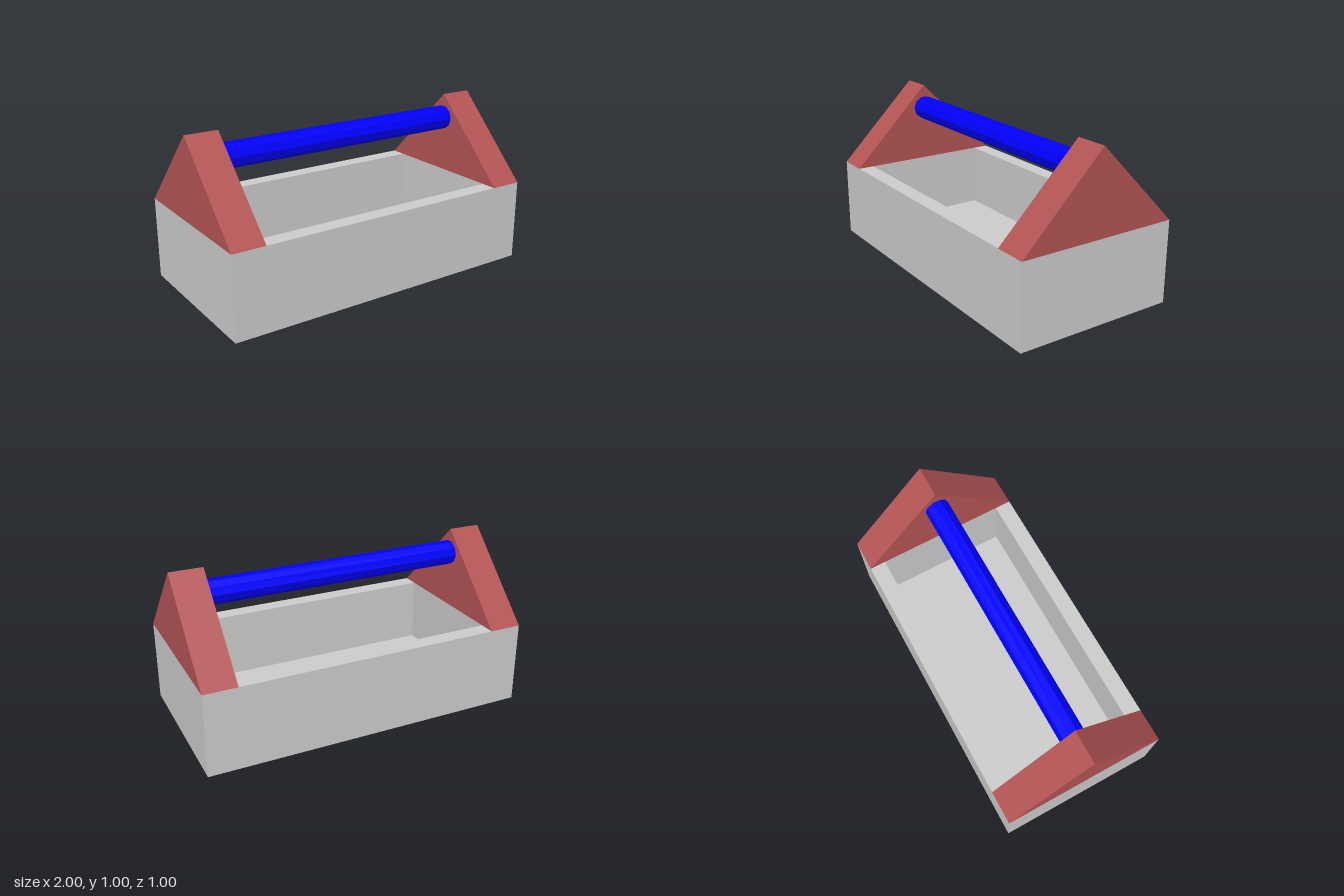
import * as THREE from 'three';

const LENGTH = 2, DEPTH = 1, TRAY_TOP = 0.5, FLOOR = 0.1;
const END = 0.2, SIDE = 0.1; // wall thicknesses

function rectangle(PathType, w, d) {
  return new PathType([[-w, -d], [w, -d], [w, d], [-w, d]].map(([x, y]) => new THREE.Vector2(x / 2, y / 2)));
}

export function createModel() {
  const model = new THREE.Group();
  model.name = 'toolCaddy';
  const grey = new THREE.MeshStandardMaterial({ color: 0xcccccc, flatShading: true });
  const red = new THREE.MeshStandardMaterial({ color: 0xb45454, flatShading: true });
  const blue = new THREE.MeshStandardMaterial({ color: 0x0000ff, flatShading: true });

  const add = (name, geometry, material) => {
    const mesh = new THREE.Mesh(geometry, material);
    mesh.name = name;
    model.add(mesh);
    return mesh;
  };

  // Tray floor
  add('trayFloor', new THREE.BoxGeometry(LENGTH, FLOOR, DEPTH), grey).position.y = FLOOR / 2;

  // Tray walls: a rectangular ring raised from the floor
  const ring = rectangle(THREE.Shape, LENGTH, DEPTH);
  ring.holes.push(rectangle(THREE.Path, LENGTH - 2 * END, DEPTH - 2 * SIDE));
  const walls = new THREE.ExtrudeGeometry(ring, { depth: TRAY_TOP - FLOOR, bevelEnabled: false });
  walls.rotateX(-Math.PI / 2);
  add('trayWalls', walls, grey).position.y = FLOOR;

  // Triangular gables on both ends
  const triangle = new THREE.Shape([
    new THREE.Vector2(-DEPTH / 2, TRAY_TOP),
    new THREE.Vector2(DEPTH / 2, TRAY_TOP),
    new THREE.Vector2(0, 1),
  ]);
  const gable = new THREE.ExtrudeGeometry(triangle, { depth: END, bevelEnabled: false });
  gable.translate(0, 0, -END / 2).rotateY(Math.PI / 2);
  for (const [name, side] of [['leftGable', 1], ['rightGable', -1]]) {
    add(name, gable, red).position.x = side * (LENGTH - END) / 2;
  }

  // Ten-sided handle bar between the gables
  const bar = new THREE.CylinderGeometry(0.075, 0.075, LENGTH - 2 * END, 10);
  bar.rotateZ(Math.PI / 2);
  add('handleBar', bar, blue).position.y = 0.85;

  return model;
}
